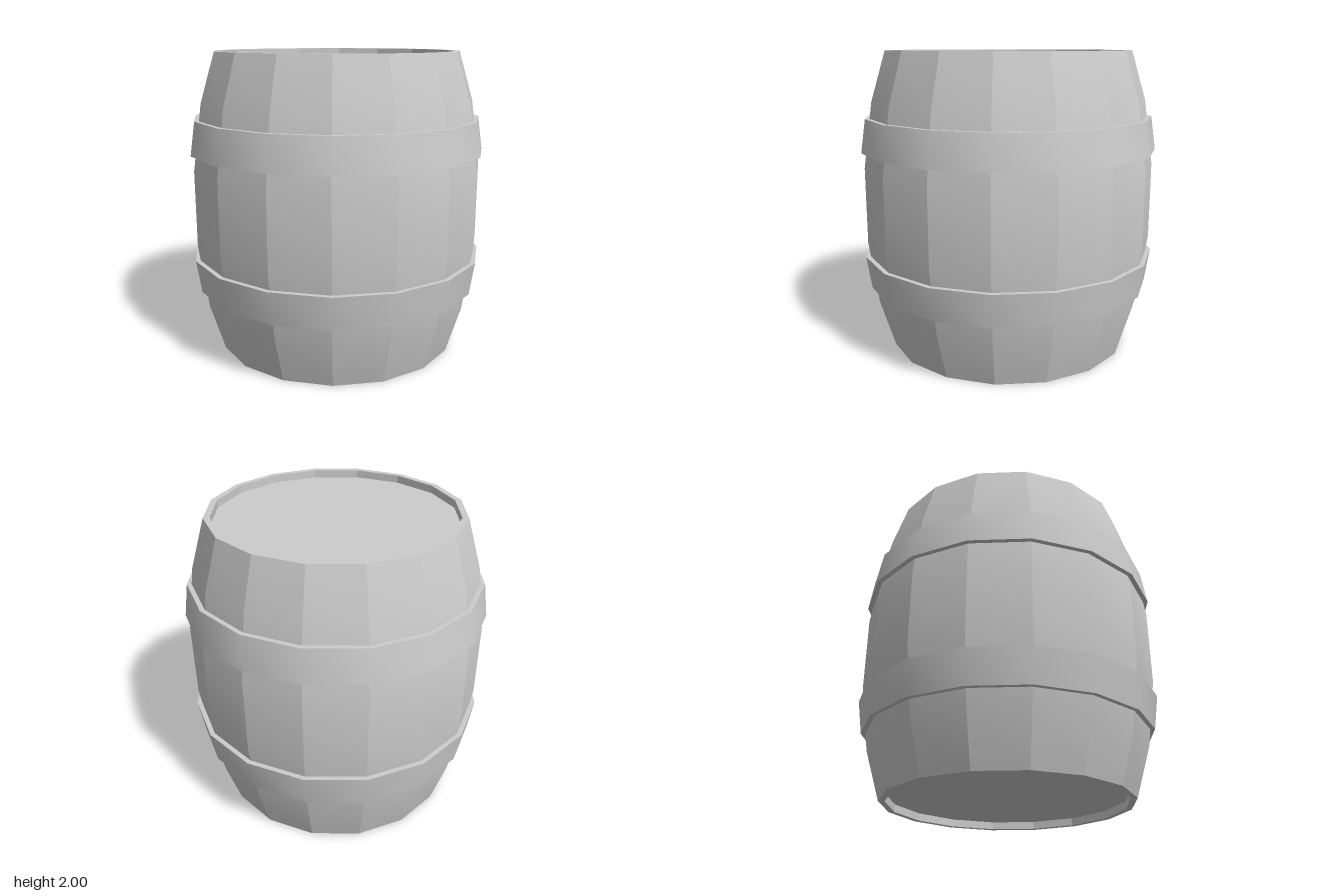
import * as THREE from 'three';
import { toCreasedNormals } from 'three/addons/utils/BufferGeometryUtils.js';

const SIDES = 16;
const material = new THREE.MeshStandardMaterial({ color: 0xcccccc });

// Sixteen-sided turned shape with flats facing the axes; profile radii are measured to the flats.
function turned(name, profile, creaseDegrees) {
  const points = profile.map(([r, y]) => new THREE.Vector2(r / Math.cos(Math.PI / SIDES), y));
  const lathe = new THREE.LatheGeometry(points, SIDES, Math.PI / SIDES);
  const mesh = new THREE.Mesh(toCreasedNormals(lathe, THREE.MathUtils.degToRad(creaseDegrees)), material);
  mesh.name = name;
  return mesh;
}

export function createModel() {
  const barrel = new THREE.Group();
  barrel.name = 'barrel';

  // Bulging staves with a rim and a shallow recessed lid at each end
  const recess = 0.05;
  barrel.add(turned('staves', [
    [0.76, recess], [0.76, 0], [0.8, 0], [0.895, 0.32], [0.955, 0.75],
    [0.955, 1.25], [0.895, 1.68], [0.8, 2], [0.76, 2], [0.76, 2 - recess],
  ], 15));
  barrel.add(turned('bottomLid', [[0, recess], [0.76, recess]], 15));
  barrel.add(turned('topLid', [[0.76, 2 - recess], [0, 2 - recess]], 15));

  // Tapered hoops, wider towards the belly, rounded in shading
  barrel.add(turned('lowerHoop', [
    [0.9, 0.43], [0.94, 0.43], [0.972, 0.65], [0.92, 0.65],
  ], 35));
  barrel.add(turned('upperHoop', [
    [0.92, 1.35], [0.972, 1.35], [0.94, 1.57], [0.9, 1.57],
  ], 35));

  return barrel;
}
